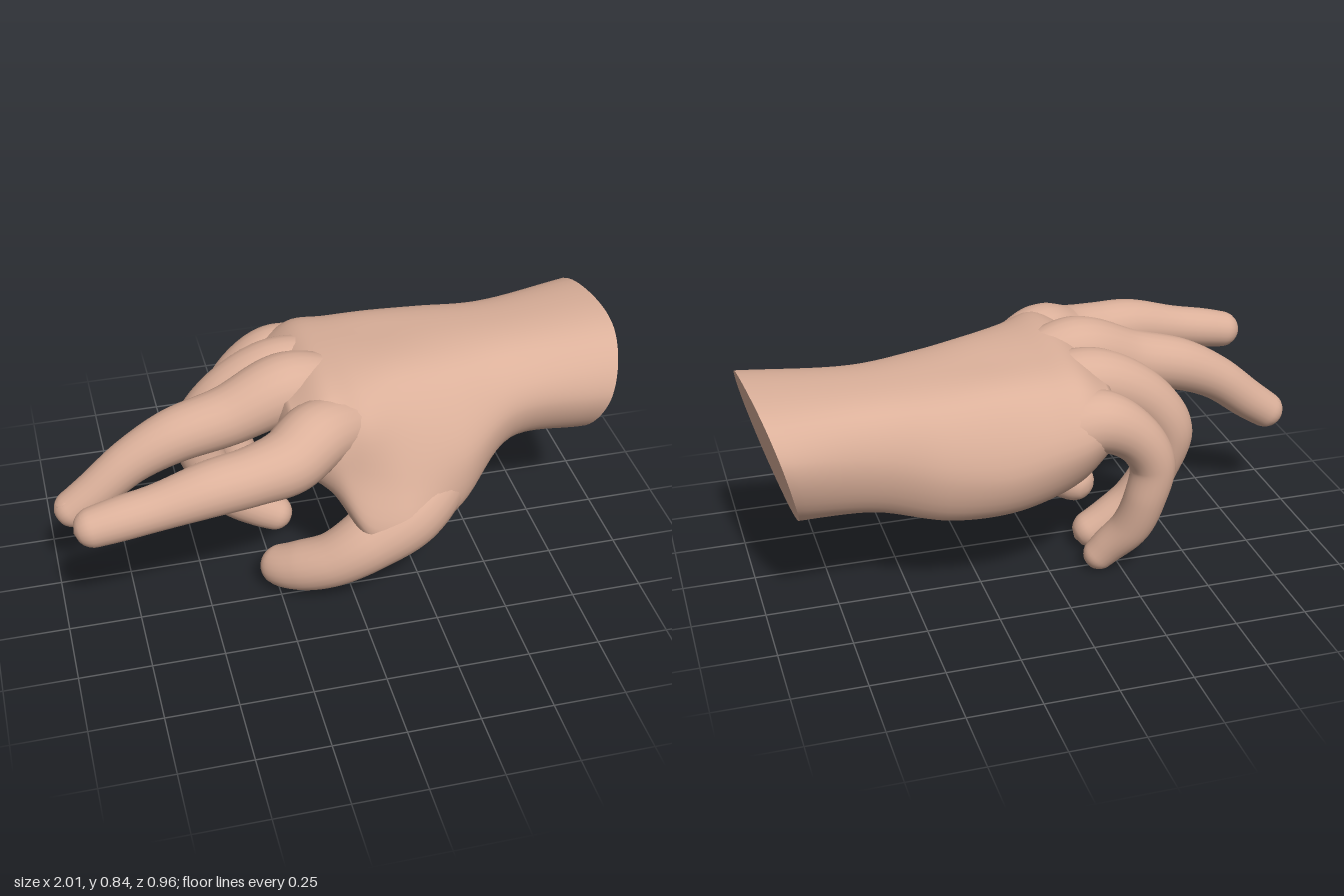
import * as THREE from 'three';
import { mergeVertices } from 'three/addons/utils/BufferGeometryUtils.js';

const skin = new THREE.MeshStandardMaterial({ color: 0xdbb09a });
skin.name = 'skin';

const V = (x, y, z) => new THREE.Vector3(x, y, z);

function mesh(name, geometry) {
  const m = new THREE.Mesh(geometry, skin);
  m.name = name;
  return m;
}

function indexed(points, index) {
  const g = new THREE.BufferGeometry().setFromPoints(points);
  g.setIndex(index);
  g.computeVertexNormals();
  return g;
}

// Wrist to knuckles: each section is x, then ten [z, y] points over the back,
// down the thumb side, along the palm and up the little-finger side.
const wristEnd = [[-.38, .755], [-.15, .805], [.03, .78], [.13, .69], [.165, .57],
  [.1, .43], [-.06, .34], [-.22, .335], [-.38, .43], [-.455, .64]];
const sections = [
  [.62, [-.34, .73], [-.14, .775], [.03, .75], [.13, .66], [.16, .56],
    [.11, .43], [-.05, .35], [-.2, .34], [-.35, .39], [-.41, .58]],
  [.4, [-.36, .73], [-.14, .78], [.07, .755], [.19, .65], [.28, .47],
    [.26, .285], [.1, .26], [-.17, .325], [-.39, .34], [-.455, .53]],
  [.2, [-.36, .74], [-.14, .785], [.1, .775], [.23, .68], [.34, .47],
    [.395, .28], [.23, .205], [-.13, .335], [-.4, .335], [-.475, .51]],
  [.05, [-.36, .74], [-.14, .79], [.15, .78], [.28, .70], [.34, .5],
    [.385, .29], [.23, .25], [-.13, .37], [-.39, .36], [-.475, .54]],
  [-.08, [-.36, .74], [-.12, .795], [.2, .79], [.31, .73], [.345, .6],
    [.31, .47], [.16, .43], [-.15, .39], [-.36, .40], [-.465, .57]],
  [-.2, [-.34, .67], [-.12, .72], [.14, .73], [.27, .70], [.31, .62],
    [.26, .55], [.14, .52], [-.15, .48], [-.32, .49], [-.40, .59]],
];

function handBody() {
  const cols = 60, rows = 48;
  // The wrist is cut on a slant.
  const loops = [wristEnd.map(([z, y]) => V(.88 + (y - .34) * .26 + (z + .15) * .08, y, z)),
    ...sections.map(([x, ...pts]) => pts.map(([z, y]) => V(x, y, z)))]
    .map(pts => new THREE.CatmullRomCurve3(pts, true));
  const points = [], index = [];
  const columns = Array.from({ length: cols }, (_, j) =>
    new THREE.CatmullRomCurve3(loops.map(loop => loop.getPoint(j / cols))));
  for (let i = 0; i <= rows; i++) {
    for (const c of columns) points.push(c.getPoint(i / rows));
  }
  for (let i = 0; i < rows; i++) {
    for (let j = 0; j < cols; j++) {
      const k = (j + 1) % cols, a = i * cols, b = a + cols;
      index.push(a + j, b + j, a + k, b + j, b + k, a + k);
    }
  }
  // Close the knuckle end between the fingers.
  const last = rows * cols, centre = points.length;
  points.push(V(-.25, .61, -.05));
  for (let j = 0; j < cols; j++) index.push(centre, last + (j + 1) % cols, last + j);

  // Flat face of the cut wrist.
  const rim = points.slice(0, cols);
  const middle = rim.reduce((sum, p) => sum.add(p), V(0, 0, 0)).divideScalar(cols);
  const capIndex = rim.flatMap((_, j) => [cols, j, (j + 1) % cols]);
  return [mesh('palmAndWrist', indexed(points, index)),
    mesh('wristCut', indexed([...rim, middle], capIndex))];
}

// Tapered digit with a rounded tip; path entries are [x, y, z, radius].
function digit(path) {
  const rows = 110, sides = 22;
  const curve = new THREE.CatmullRomCurve3(path.map(p => V(p[0], p[1], p[2])));
  const radii = new THREE.CatmullRomCurve3(path.map((p, i) => V(i, p[3], 0)), false, 'catmullrom');
  const length = curve.getLength(), tip = path[path.length - 1][3];
  const g = new THREE.TubeGeometry(curve, rows, 1, sides, false);
  const pos = g.attributes.position, v = V(0, 0, 0);
  for (let i = 0; i <= rows; i++) {
    const u = i / rows, centre = curve.getPointAt(u);
    const s = Math.max(0, 1 - (1 - u) * length / tip);
    const r = radii.getPoint(curve.getUtoTmapping(u)).y * Math.sqrt(Math.max(0, 1 - s * s));
    for (let j = 0; j <= sides; j++) {
      const k = i * (sides + 1) + j;
      v.fromBufferAttribute(pos, k).sub(centre).multiplyScalar(r).add(centre);
      pos.setXYZ(k, v.x, v.y, v.z);
    }
  }
  g.deleteAttribute('uv');
  g.deleteAttribute('normal');
  const smooth = mergeVertices(g, 1e-5);
  smooth.computeVertexNormals();
  return { geometry: smooth, curve, length, tip };
}

// Shallow nail set into the outer side of the fingertip.
function nail({ curve, length, tip }, outward) {
  const u = 1 - tip * 1.15 / length;
  const along = curve.getTangentAt(u);
  const up = V(...outward).addScaledVector(along, -V(...outward).dot(along)).normalize();
  const m = mesh('nail', new THREE.SphereGeometry(1, 20, 12));
  m.scale.set(tip * .6, tip * .16, tip * .65);
  m.quaternion.setFromRotationMatrix(
    new THREE.Matrix4().makeBasis(up.clone().cross(along), up, along));
  m.position.copy(curve.getPointAt(u)).addScaledVector(up, tip * .87);
  return m;
}

// Each path starts narrow inside the palm so that the root blends into it.
const digits = {
  indexFinger: { outward: [-.2, 1, 0], path: [
    [.16, .66, .13, .05], [0, .665, .2, .095], [-.12, .67, .255, .118], [-.23, .632, .32, .113],
    [-.36, .625, .362, .1], [-.5, .619, .386, .094], [-.68, .585, .398, .078],
    [-.82, .56, .4, .073], [-.955, .533, .4, .062]] },
  middleFinger: { outward: [-.6, 1, 0], path: [
    [.15, .68, -.03, .05], [0, .7, -.01, .09], [-.17, .712, .01, .12], [-.38, .645, .035, .104],
    [-.57, .596, .04, .094], [-.72, .522, .045, .08], [-.86, .412, .05, .072],
    [-.985, .322, .05, .062]] },
  ringFinger: { outward: [-.6, -1, 0], path: [
    [.15, .64, -.16, .05], [0, .66, -.16, .105], [-.18, .67, -.16, .114], [-.36, .585, -.165, .097],
    [-.458, .45, -.165, .088], [-.43, .31, -.15, .08], [-.355, .18, -.14, .08],
    [-.26, .105, -.13, .073], [-.135, .035, -.12, .06]] },
  littleFinger: { outward: [-1, -.5, 0], path: [
    [.15, .58, -.32, .05], [0, .59, -.34, .105], [-.14, .61, -.35, .108], [-.265, .54, -.36, .088],
    [-.33, .43, -.36, .079], [-.31, .3, -.355, .073], [-.272, .175, -.325, .07],
    [-.205, .085, -.285, .062], [-.14, .008, -.262, .05]] },
  thumb: { outward: [-1, -.3, .7], path: [
    [.52, .48, .01, .04], [.36, .39, .14, .12], [.2, .308, .265, .136], [.05, .235, .31, .114],
    [-.07, .165, .3, .097], [-.17, .115, .25, .09], [-.235, .088, .2, .077], [-.272, .073, .135, .063]] },
};

export function createModel() {
  const group = new THREE.Group();
  group.name = 'hand';
  group.add(...handBody());
  for (const [name, { path, outward }] of Object.entries(digits)) {
    const d = digit(path);
    const part = new THREE.Group();
    part.name = name;
    part.add(mesh(name + 'Flesh', d.geometry), nail(d, outward));
    group.add(part);
  }
  return group;
}
